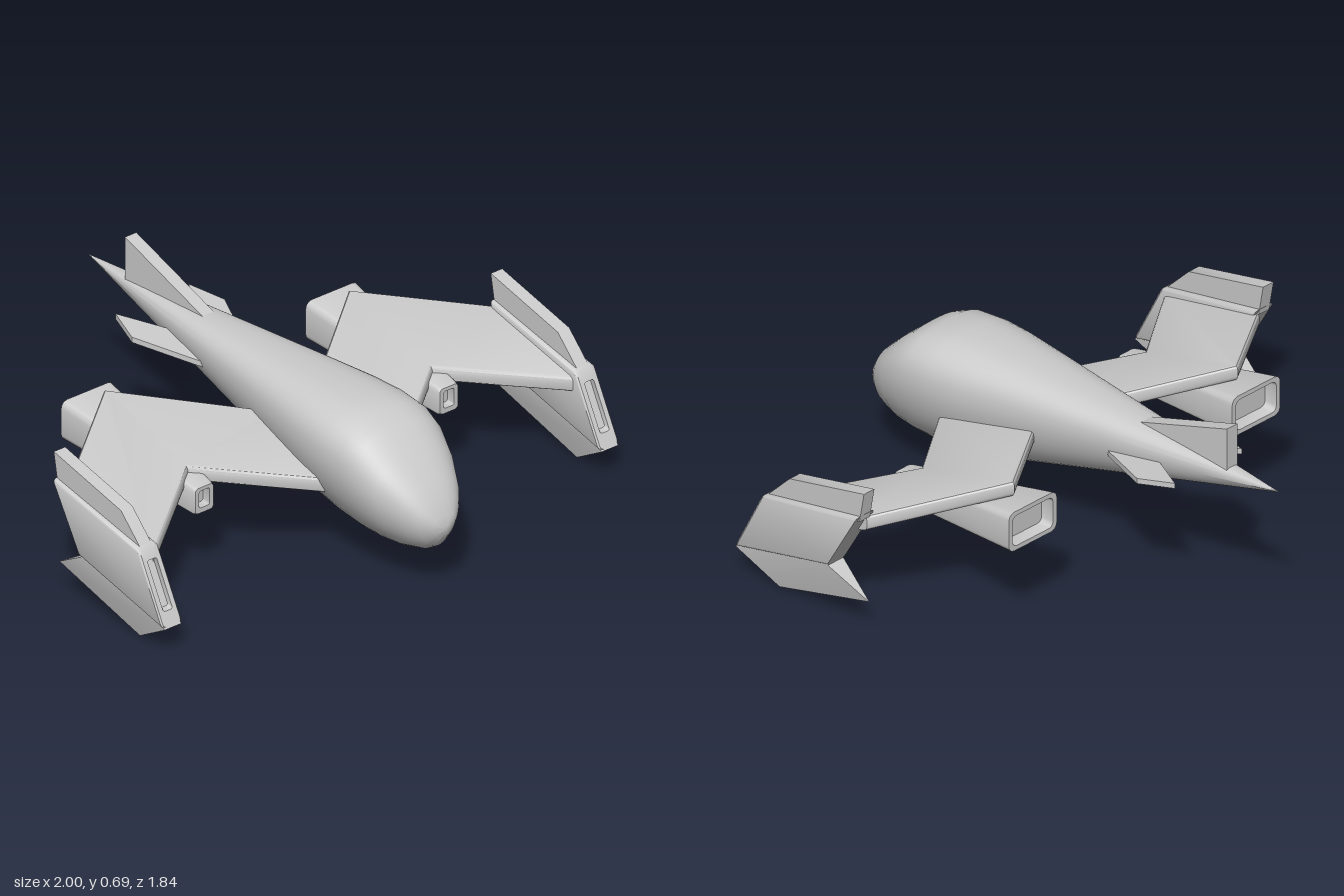
import * as THREE from 'three';
import { toCreasedNormals } from 'three/addons/utils/BufferGeometryUtils.js';

const material = new THREE.MeshStandardMaterial({ color: 0xcccccc });
const V = (x, y, z) => new THREE.Vector3(x, y, z);

function mesh(name, geometry, crease = 0.6) {
  const m = new THREE.Mesh(toCreasedNormals(geometry, crease), material);
  m.name = name;
  return m;
}

// Closed skin through a list of equal-length rings, capped at both ends.
function loft(rings) {
  const n = rings[0].length, last = rings.length - 1;
  const tris = [];
  for (let i = 0; i < last; i++) {
    for (let j = 0; j < n; j++) {
      const k = (j + 1) % n;
      const a = rings[i][j], b = rings[i][k], c = rings[i + 1][k], d = rings[i + 1][j];
      tris.push([a, b, c], [a, c, d]);
    }
  }
  for (const r of [rings[0], rings[last]]) {
    const mid = r.reduce((s, p) => s.add(p), V(0, 0, 0)).divideScalar(n);
    for (let j = 0; j < n; j++) {
      const a = r[j], b = r[(j + 1) % n];
      tris.push(r === rings[0] ? [mid, b, a] : [mid, a, b]);
    }
  }
  // Turn the skin outward if its enclosed volume is negative.
  const volume = tris.reduce((s, [a, b, c]) => s + a.dot(b.clone().cross(c)), 0);
  if (volume < 0) tris.forEach((t) => t.reverse());
  return new THREE.BufferGeometry().setFromPoints(tris.flat());
}

// Rounded rectangle with half-axes a and b about centre c.
function roundRect(c, a, b, r) {
  const la = a.length(), lb = b.length(), ring = [];
  const corners = [[1, 1], [-1, 1], [-1, -1], [1, -1]];
  corners.forEach(([sa, sb], q) => {
    for (let i = 0; i <= 3; i++) {
      const t = (q + i / 3) * Math.PI / 2;
      const u = (sa * (la - r) + r * Math.cos(t)) / la;
      const v = (sb * (lb - r) + r * Math.sin(t)) / lb;
      ring.push(c.clone().addScaledVector(a, u).addScaledVector(b, v));
    }
  });
  return ring;
}

// Side-profile plate: points are [z, y], thickness runs along x.
function plate(points, width) {
  const shape = new THREE.Shape(points.map((p) => new THREE.Vector2(...p)));
  return new THREE.ExtrudeGeometry(shape, { depth: width, bevelEnabled: false })
    .rotateY(-Math.PI / 2).translate(width / 2, 0, 0);
}

// Fuselage: egg-shaped sections [z, top, bottom, half width]
function fuselage() {
  const stations = [
    [0.92, 0.265, 0.243, 0.014], [0.91, 0.30, 0.215, 0.05], [0.88, 0.35, 0.175, 0.09],
    [0.84, 0.405, 0.15, 0.125], [0.76, 0.48, 0.13, 0.17], [0.68, 0.548, 0.122, 0.196],
    [0.61, 0.58, 0.122, 0.206], [0.5, 0.59, 0.135, 0.208], [0.38, 0.59, 0.157, 0.197],
    [0.2, 0.585, 0.20, 0.168], [-0.2, 0.566, 0.317, 0.108], [-0.6, 0.546, 0.435, 0.048],
    [-0.92, 0.531, 0.529, 0.001],
  ];
  const rings = stations.map(([z, top, bottom, w]) => {
    const mid = bottom + (top - bottom) * 0.65, ring = [];
    for (let i = 0; i < 40; i++) {
      const t = i / 40 * Math.PI * 2, c = Math.cos(t), s = Math.sin(t);
      const e = 2 / (s > 0 ? 2.6 : 1.75);
      const h = s > 0 ? top - mid : mid - bottom;
      ring.push(V(w * Math.sign(c) * Math.abs(c) ** e, mid + h * Math.sign(s) * Math.abs(s) ** e, z));
    }
    return ring;
  });
  return mesh('fuselage', loft(rings), 0.9);
}

// Cranked wing, tip to tip: [x, leading z, leading y, trailing z, trailing y]
function wing() {
  const half = [[0.1, 0.545, 0.315, 0.11, 0.408], [0.535, 0.22, 0.387, -0.213, 0.505], [0.94, 0.52, 0.325, 0.08, 0.422]];
  const thick = 0.056;
  const mirrored = half.map(([x, ...rest]) => [-x, ...rest]).reverse();
  const rings = [...mirrored, ...half].map(([x, zl, yl, zt, yt]) => roundRect(
    V(x, (yl + yt - thick) / 2, (zl + zt) / 2),
    V(0, (yl - yt) / 2, (zl - zt) / 2), V(0, thick / 2, 0), 0.017));
  return mesh('wing', loft(rings), 0.4);
}

// Engine pod with a recessed intake and nozzle
function enginePod() {
  const section = (y, z, w, h, r) => roundRect(V(0, y, z), V(w, 0, 0), V(0, h, 0), r);
  return mesh('enginePod', loft([
    section(0.385, -0.25, 0.092, 0.055, 0.02),
    section(0.385, -0.298, 0.097, 0.058, 0.02),
    section(0.385, -0.298, 0.115, 0.075, 0.026),
    section(0.302, 0.29, 0.044, 0.052, 0.014),
    section(0.302, 0.305, 0.040, 0.048, 0.014),
    section(0.305, 0.305, 0.023, 0.032, 0.008),
    section(0.305, 0.27, 0.023, 0.032, 0.008),
  ]));
}

// Wing-tip fin: slotted main body, raised blade and sharp lower keel
function tipFin() {
  const fin = new THREE.Group();
  fin.name = 'tipFin';
  const section = (y, z, dy, dz, w, scale, r) =>
    roundRect(V(0, y, z), V(w, 0, 0), V(0, dy / 2 * scale, dz / 2 * scale), r);
  fin.add(mesh('finBody', loft([
    section(0.324, 0.14, 0.238, -0.14, 0.043, 1, 0.014),
    section(0.232, 0.567, 0.25, -0.13, 0.043, 1, 0.014),
    section(0.23, 0.575, 0.25, -0.13, 0.038, 0.96, 0.014),
    section(0.236, 0.572, 0.25, -0.13, 0.02, 0.64, 0.008),
    section(0.240, 0.548, 0.25, -0.13, 0.02, 0.64, 0.008),
  ])));
  fin.add(mesh('finBlade', plate([[0.51, 0.345], [0.40, 0.455], [0.054, 0.535], [0.075, 0.42]], 0.05)));
  const quad = (w, [z1, y1], [z2, y2]) => [V(w, y1, z1), V(-w, y1, z1), V(-w, y2, z2), V(w, y2, z2)];
  fin.add(mesh('finKeel', loft([
    quad(0.037, [0.625, 0.125], [0.2, 0.225]),
    quad(0.037, [0.638, 0.103], [0.21, 0.203]),
    quad(0.001, [0.47, 0], [0.055, 0.11]),
  ]), 0.3));
  return fin;
}

// Small swept stabilisers, one slab passing through the tail
function stabilizers() {
  const right = [[0.085, -0.2], [0.107, -0.24], [0.203, -0.46], [0.16, -0.595], [0.06, -0.42]];
  const left = right.map(([x, z]) => [-x, z]).reverse();
  const shape = new THREE.Shape([...right, ...left].map((p) => new THREE.Vector2(...p)));
  const geometry = new THREE.ExtrudeGeometry(shape, { depth: 0.02, bevelEnabled: false }).rotateX(Math.PI / 2);
  const p = geometry.attributes.position;
  for (let i = 0; i < p.count; i++) p.setY(i, p.getY(i) + 0.42 - 0.13 * p.getZ(i));
  return mesh('stabilizers', geometry);
}

export function createModel() {
  const model = new THREE.Group();
  model.name = 'spacecraft';
  model.add(fuselage(), wing(), stabilizers());
  model.add(mesh('tailFin', plate([[-0.29, 0.555], [-0.705, 0.695], [-0.705, 0.53], [-0.29, 0.54]], 0.05)));
  for (const side of [-1, 1]) {
    const pod = enginePod(), fin = tipFin();
    pod.position.x = side * 0.535;
    fin.position.x = side * 0.956;
    model.add(pod, fin);
  }
  return model;
}
